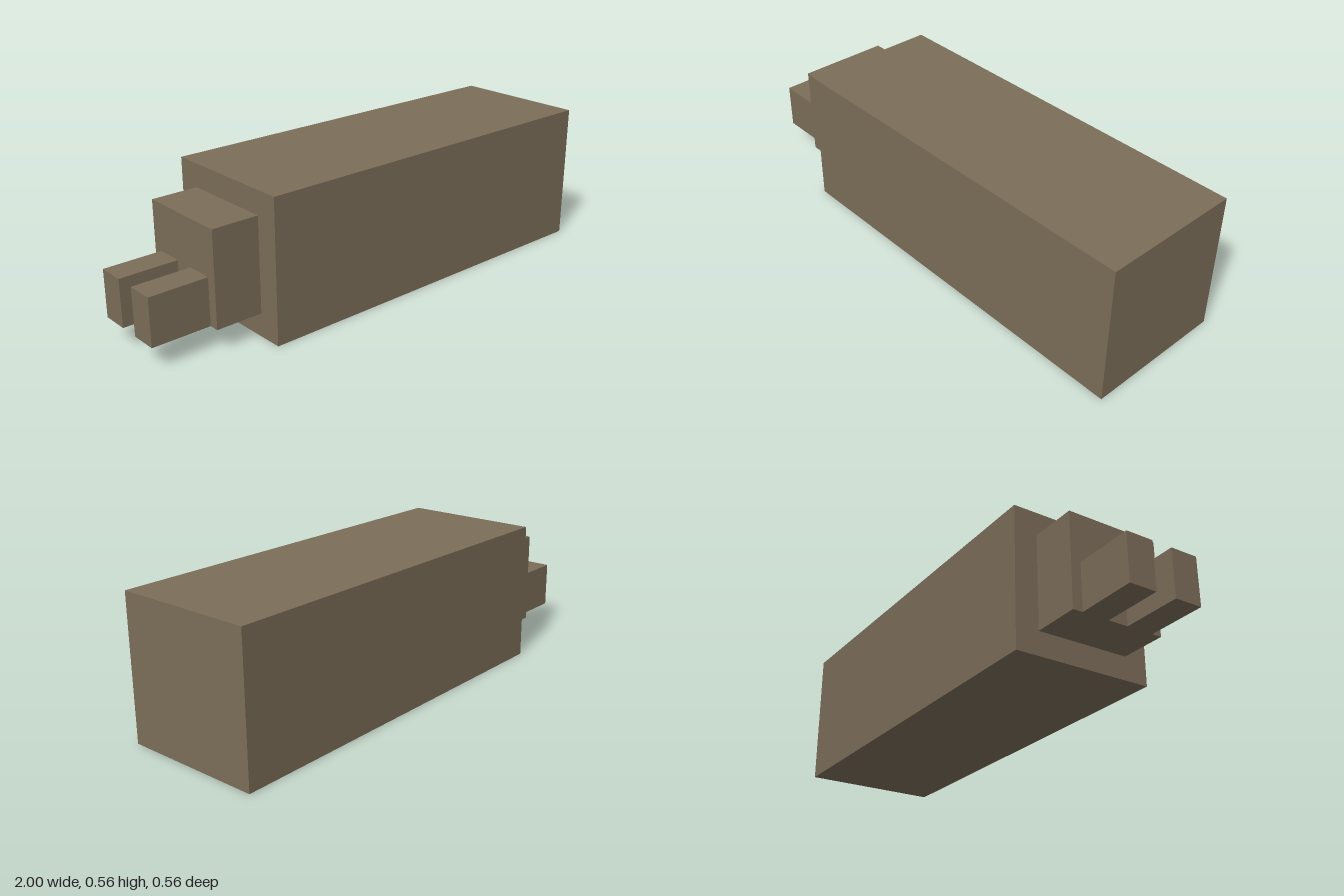
import * as THREE from 'three';

export function createModel() {
  const group = new THREE.Group();
  group.name = 'plugInStick';

  const casing = new THREE.MeshStandardMaterial({ color: 0x7b6d58, flatShading: true });
  casing.name = 'brown casing';

  // Adds a box spanning the given ranges on each axis
  function addBox(name, [x0, x1], [y0, y1], [z0, z1]) {
    const mesh = new THREE.Mesh(new THREE.BoxGeometry(x1 - x0, y1 - y0, z1 - z0), casing);
    mesh.position.set((x0 + x1) / 2, (y0 + y1) / 2, (z0 + z1) / 2);
    mesh.name = name;
    group.add(mesh);
  }

  // Long square body and the stepped neck at its end
  addBox('body', [-0.581, 1], [0, 0.557], [-0.279, 0.279]);
  addBox('neck', [-0.768, -0.581], [0.093, 0.464], [-0.186, 0.186]);

  // Pair of prongs, flush with the underside of the neck
  addBox('leftProng', [-1, -0.768], [0.093, 0.278], [0.04, 0.147]);
  addBox('rightProng', [-1, -0.768], [0.093, 0.278], [-0.147, -0.04]);

  return group;
}
